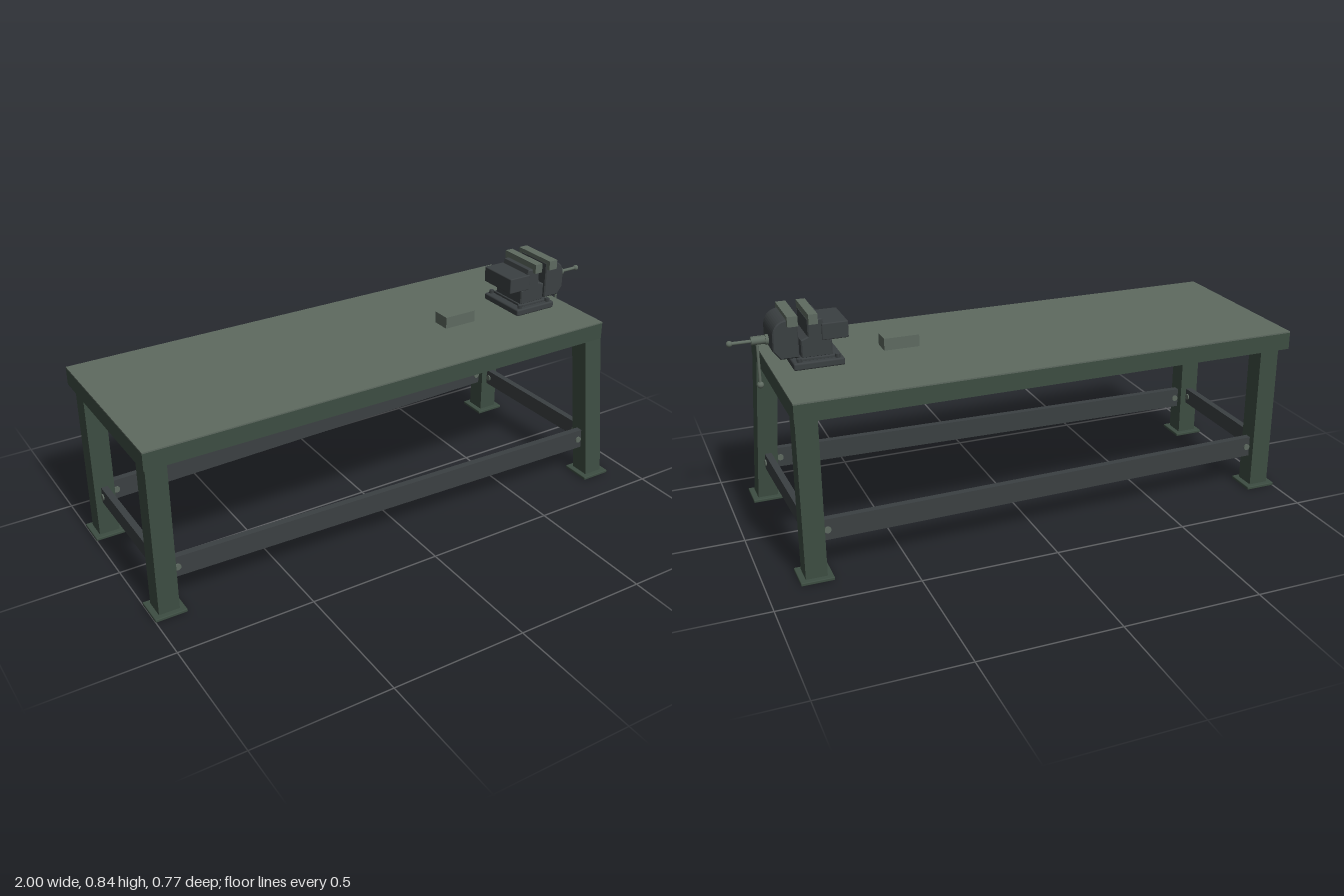
import * as THREE from 'three';
import { RoundedBoxGeometry } from 'three/addons/geometries/RoundedBoxGeometry.js';

export function createModel() {
  const model = new THREE.Group();
  const mat = (name, color) => new THREE.MeshStandardMaterial({ name, color });
  const green = mat('green paint', 0x3d4d42);
  const steel = mat('worn steel', 0x5e6a60);
  const dark = mat('dark iron', 0x3b4042);

  const add = (name, geometry, material, parent = model) => {
    const mesh = new THREE.Mesh(geometry, material);
    mesh.name = name;
    parent.add(mesh);
    return mesh;
  };
  // Box given by its limits on each axis, with optional rounded edges
  const box = (name, [x0, x1], [y0, y1], [z0, z1], material, parent = model, r = 0) => {
    const size = [x1 - x0, y1 - y0, z1 - z0];
    const g = r ? new RoundedBoxGeometry(...size, 2, r) : new THREE.BoxGeometry(...size);
    g.translate((x0 + x1) / 2, (y0 + y1) / 2, (z0 + z1) / 2);
    return add(name, g, material, parent);
  };
  const ball = (name, r, x, y, z, material, parent) =>
    add(name, new THREE.SphereGeometry(r, 20, 14), material, parent).position.set(x, y, z);

  // Tabletop with a worn surface plate
  box('tabletop', [-0.99, 0.866], [0.58, 0.643], [-0.368, 0.325], green);
  box('topPlate', [-0.99, 0.866], [0.643, 0.648], [-0.368, 0.325], steel);

  // Legs: centre at the top and centre at the foot
  const legs = [
    ['frontRightLeg', -0.943, 0.27, -0.943, 0.27],
    ['backRightLeg', -0.943, -0.28, -0.943, -0.28],
    ['backLeftLeg', 0.827, -0.33, 0.827, -0.33],
    ['frontLeftLeg', 0.827, 0.287, 0.855, 0.331],
  ];
  for (const [name, tx, tz, bx, bz] of legs) {
    const g = new THREE.BoxGeometry(0.075, 0.568, 0.076);
    const p = g.attributes.position;
    for (let i = 0; i < p.count; i++) {
      const top = p.getY(i) > 0;
      p.setXYZ(i, p.getX(i) + (top ? tx : bx), top ? 0.58 : 0.012, p.getZ(i) + (top ? tz : bz));
    }
    g.computeVertexNormals();
    add(name, g, green);
    box(name + 'Foot', [bx - 0.058, bx + 0.058], [0, 0.012], [bz - 0.057, bz + 0.057], green, model, 0.003);
  }

  // Stretcher rails between the legs, bolted near both ends
  const rail = (name, from, to, height) => {
    const a = new THREE.Vector3(...from), b = new THREE.Vector3(...to);
    const length = a.distanceTo(b);
    const group = new THREE.Group();
    group.name = name;
    group.position.copy(a).lerp(b, 0.5);
    group.quaternion.setFromUnitVectors(new THREE.Vector3(1, 0, 0), b.sub(a).normalize());
    add('bar', new THREE.BoxGeometry(length, height, 0.025), dark, group);
    for (const s of [-1, 1]) {
      const bolt = new THREE.CylinderGeometry(0.012, 0.012, 0.035, 16).rotateX(Math.PI / 2);
      add('bolt', bolt, steel, group).position.x = s * (length / 2 - 0.017);
    }
    model.add(group);
  };
  rail('frontRail', [-0.908, 0.16, 0.27], [0.812, 0.16, 0.318], 0.077);
  rail('backRail', [-0.908, 0.165, -0.28], [0.792, 0.171, -0.33], 0.077);
  rail('leftRail', [0.845, 0.164, 0.283], [0.827, 0.164, -0.294], 0.062);
  rail('rightRail', [-0.943, 0.175, 0.234], [-0.943, 0.175, -0.244], 0.062);

  // Small block lying on the table
  box('block', [0.327, 0.457], [0.648, 0.692], [-0.004, 0.066], steel);

  // Vise
  const vise = new THREE.Group();
  vise.name = 'vise';
  model.add(vise);
  const zc = 0.016;
  const across = (half) => [zc - half, zc + half];
  box('viseBase', [0.62, 0.797], [0.648, 0.674], across(0.104), dark, vise, 0.006);
  box('viseNeck', [0.65, 0.775], [0.672, 0.683], across(0.085), dark, vise, 0.003);
  for (const x of [0.642, 0.775]) for (const s of [-1, 1]) {
    add('baseBolt', new THREE.CylinderGeometry(0.009, 0.009, 0.014, 6), dark, vise)
      .position.set(x, 0.68, zc + s * 0.089);
  }
  // Side profile pushed across the vise, with a small bevel
  const profile = (name, draw, half) => {
    const shape = new THREE.Shape();
    draw(shape);
    const bevel = 0.004;
    const g = new THREE.ExtrudeGeometry(shape, {
      depth: 2 * (half - bevel), bevelThickness: bevel, bevelSize: bevel,
      bevelOffset: -bevel, bevelSegments: 1, curveSegments: 10,
    }).translate(0, 0, zc - half + bevel);
    add(name, g, dark, vise);
  };
  profile('fixedJaw', (s) => {
    s.moveTo(0.655, 0.68).lineTo(0.763, 0.68).lineTo(0.763, 0.745).lineTo(0.738, 0.755)
      .lineTo(0.738, 0.815).lineTo(0.685, 0.815).lineTo(0.67, 0.74).lineTo(0.655, 0.735);
  }, 0.077);
  profile('movingJaw', (s) => {
    s.moveTo(0.77, 0.685).lineTo(0.835, 0.685).lineTo(0.858, 0.715).lineTo(0.858, 0.765);
    s.quadraticCurveTo(0.855, 0.815, 0.81, 0.823);
    s.lineTo(0.77, 0.823);
  }, 0.077);
  box('slideBeam', [0.597, 0.69], [0.737, 0.797], across(0.081), dark, vise, 0.004);
  box('guideBar', [0.69, 0.80], [0.7, 0.745], across(0.04), dark, vise);
  for (const [x0, x1] of [[0.704, 0.736], [0.772, 0.808]])
    box('jawPlate', [x0, x1], [0.802, 0.838], across(0.093), steel, vise);

  // Screw and handle
  const rod = (name, r, x0, x1, y) => add(name,
    new THREE.CylinderGeometry(r, r, x1 - x0, 20).rotateZ(Math.PI / 2), steel, vise)
    .position.set((x0 + x1) / 2, y, zc);
  rod('screwCollar', 0.018, 0.855, 0.868, 0.738);
  rod('screwHead', 0.014, 0.866, 0.917, 0.738);
  rod('screwPin', 0.006, 0.915, 0.985, 0.738);
  ball('pinEnd', 0.011, 0.989, 0.738, zc, steel, vise);
  add('handle', new THREE.CylinderGeometry(0.005, 0.005, 0.16, 12), steel, vise)
    .position.set(0.896, 0.658, zc);
  ball('handleEnd', 0.012, 0.896, 0.577, zc, steel, vise);

  return model;
}
